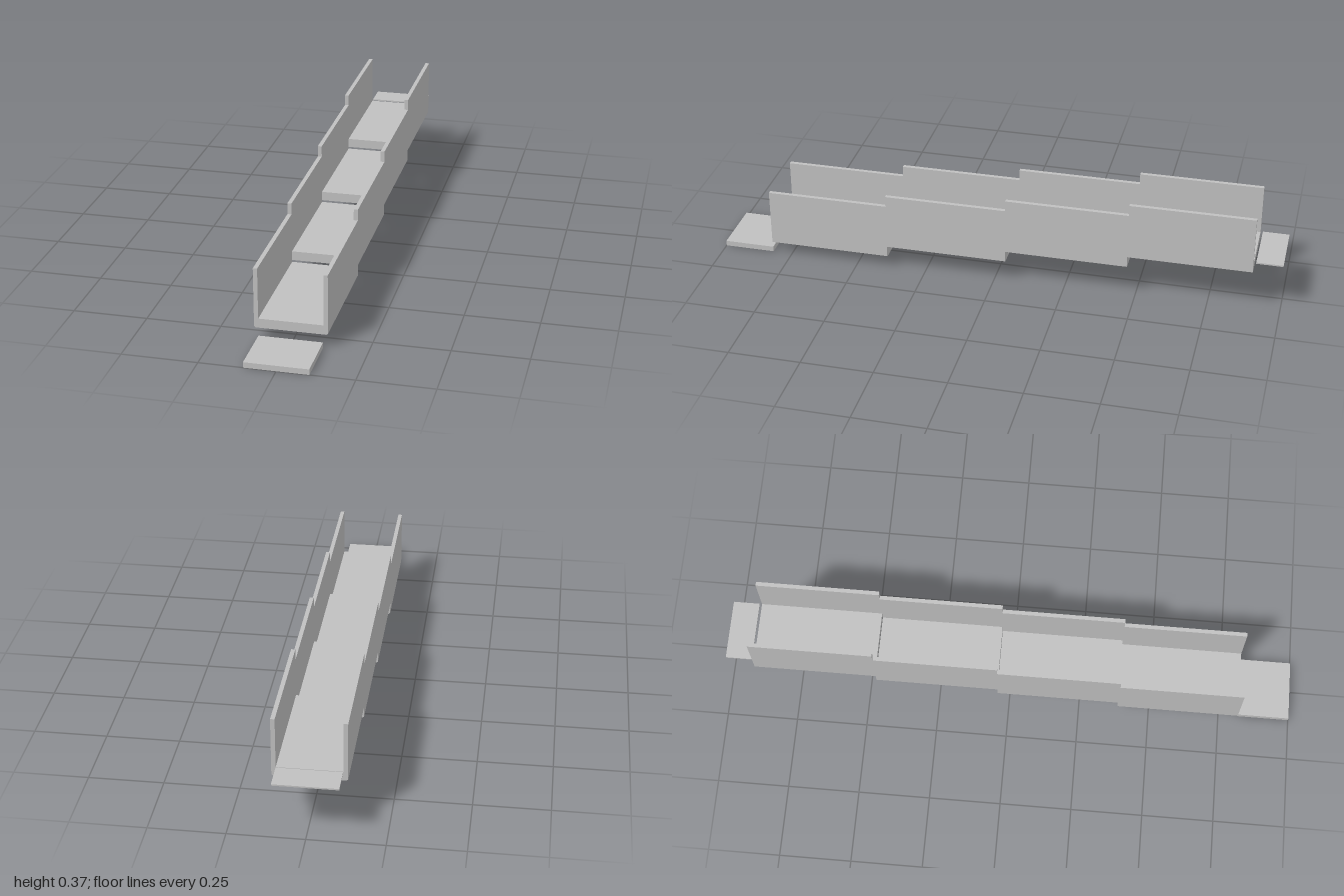
import * as THREE from 'three';

export function createModel() {
  const model = new THREE.Group();
  const grey = new THREE.MeshStandardMaterial({ color: 0xc0c0c0 });
  grey.name = 'light grey';

  const add = (geometry, name, x, y, z) => {
    const mesh = new THREE.Mesh(geometry, grey);
    mesh.name = name;
    mesh.position.set(x, y, z);
    model.add(mesh);
  };

  // U-shaped trough profile with small bevels on the lower corners
  const halfWidth = 0.12, inner = 0.106, height = 0.206, floorTop = 0.032;
  const profile = new THREE.Shape([
    [-0.114, 0], [0.114, 0], [halfWidth, 0.004], [halfWidth, height],
    [inner, height], [inner, floorTop], [-inner, floorTop],
    [-inner, height], [-halfWidth, height], [-halfWidth, 0.004],
  ].map(([x, y]) => new THREE.Vector2(x, y)));

  // Four trough sections, each one step higher towards the back
  const front = 0.816, length = 0.429, rise = 0.0388;
  const section = new THREE.ExtrudeGeometry(profile, { depth: length, bevelEnabled: false });
  for (let i = 0; i < 4; i++) {
    add(section, `troughSection${i + 1}`, 0, 0.045 + i * rise, front - (i + 1) * length);
  }

  // Entry plate at the low end and thin exit plate at the high end
  add(new THREE.BoxGeometry(0.21, 0.019, 0.18), 'entryPlate', 0, 0.0095, 0.91);
  add(new THREE.BoxGeometry(0.21, 0.005, 0.092), 'exitPlate', 0, 0.1945, -0.954);

  return model;
}
